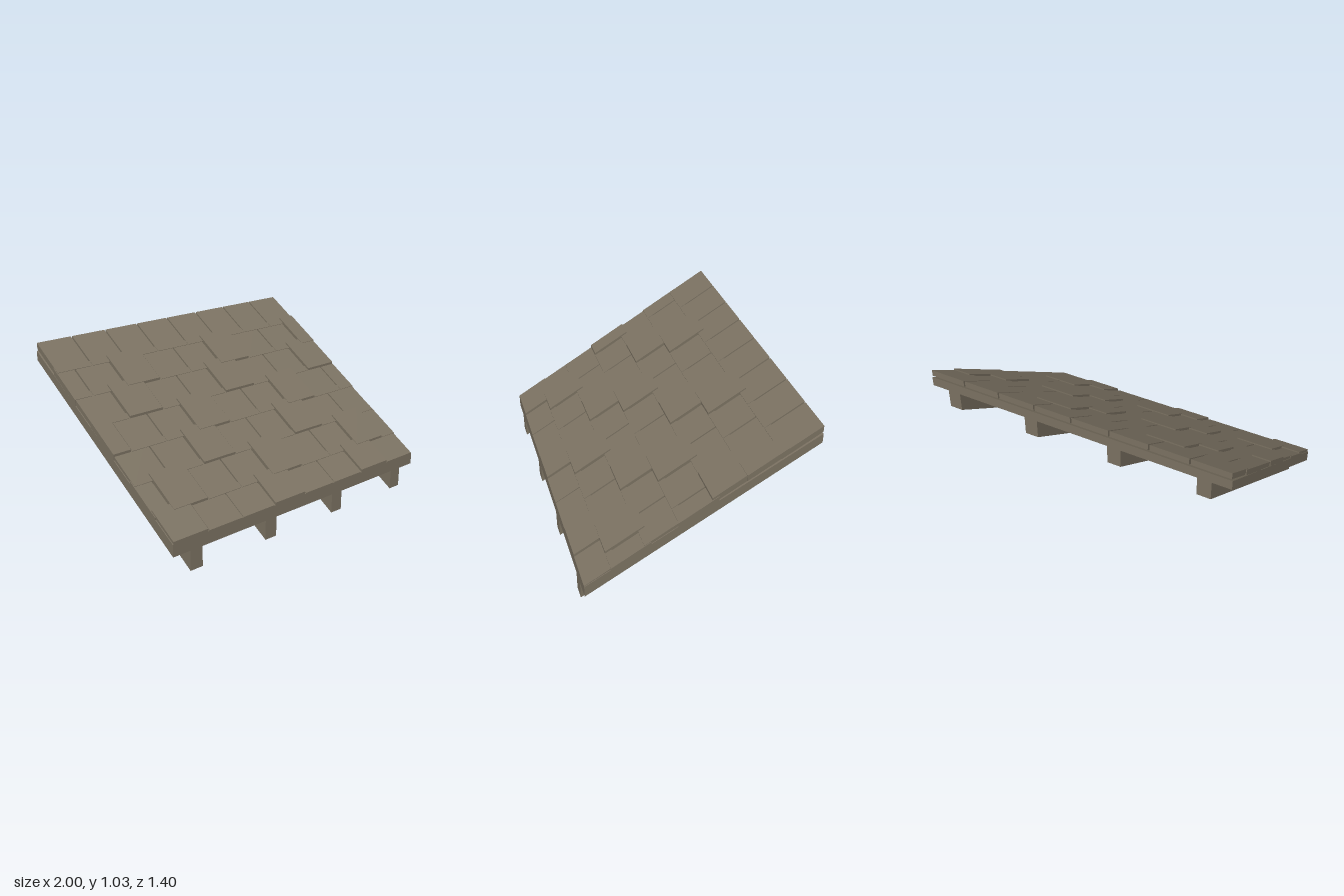
import * as THREE from 'three';

const wood = new THREE.MeshStandardMaterial({ color: 0x7b7262 });
wood.name = 'weathered wood';

// Sloped board with plumb ends: top and bottom heights given at the back (z0) and front (z1)
function board(name, x0, x1, z0, z1, back, front) {
  const geo = new THREE.BoxGeometry(1, 1, 1);
  const p = geo.attributes.position;
  for (let i = 0; i < p.count; i++) {
    const atBack = p.getZ(i) < 0;
    const [low, high] = atBack ? back : front;
    p.setXYZ(i, p.getX(i) < 0 ? x0 : x1, p.getY(i) < 0 ? low : high, atBack ? z0 : z1);
  }
  geo.computeVertexNormals();
  const mesh = new THREE.Mesh(geo, wood);
  mesh.name = name;
  return mesh;
}

export function createModel() {
  const roof = new THREE.Group();
  roof.name = 'shingledRoof';

  // Deck
  roof.add(board('deck', -1, 1, -0.7, 0.7, [0.922, 0.982], [0.127, 0.203]));

  // Rafters, sunk slightly into the deck
  for (const x of [-0.84, -0.28, 0.28, 0.84]) {
    roof.add(board('rafter', x - 0.043, x + 0.043, -0.7, 0.7, [0.805, 0.93], [0, 0.135]));
  }

  // Overlapping shingle courses, staggered by half a shingle; every third one sits proud
  const shingles = new THREE.Group();
  shingles.name = 'shingles';
  const pitch = 0.25, gap = 0.01, slope = 0.577, thick = 0.04;
  for (let row = 0; row < 7; row++) {
    const z0 = -0.7 + 0.2 * row;
    const z1 = Math.min(z0 + 0.24, 0.7);
    const odd = row % 2;
    for (let col = 0; col < 8 + odd; col++) {
      const start = -1 - odd * pitch / 2 + col * pitch;
      const x0 = Math.max(-1, start + gap / 2);
      const x1 = Math.min(1, start + pitch - gap / 2);
      const lift = row > 0 && (row + col) % 3 === 0 ? 0.0125 : 0;
      const top = 1.033 - 0.1183 * row + lift;
      const end = top - slope * (z1 - z0);
      shingles.add(board('shingle', x0, x1, z0, z1, [top - thick, top], [end - thick, end]));
    }
  }
  roof.add(shingles);
  return roof;
}
